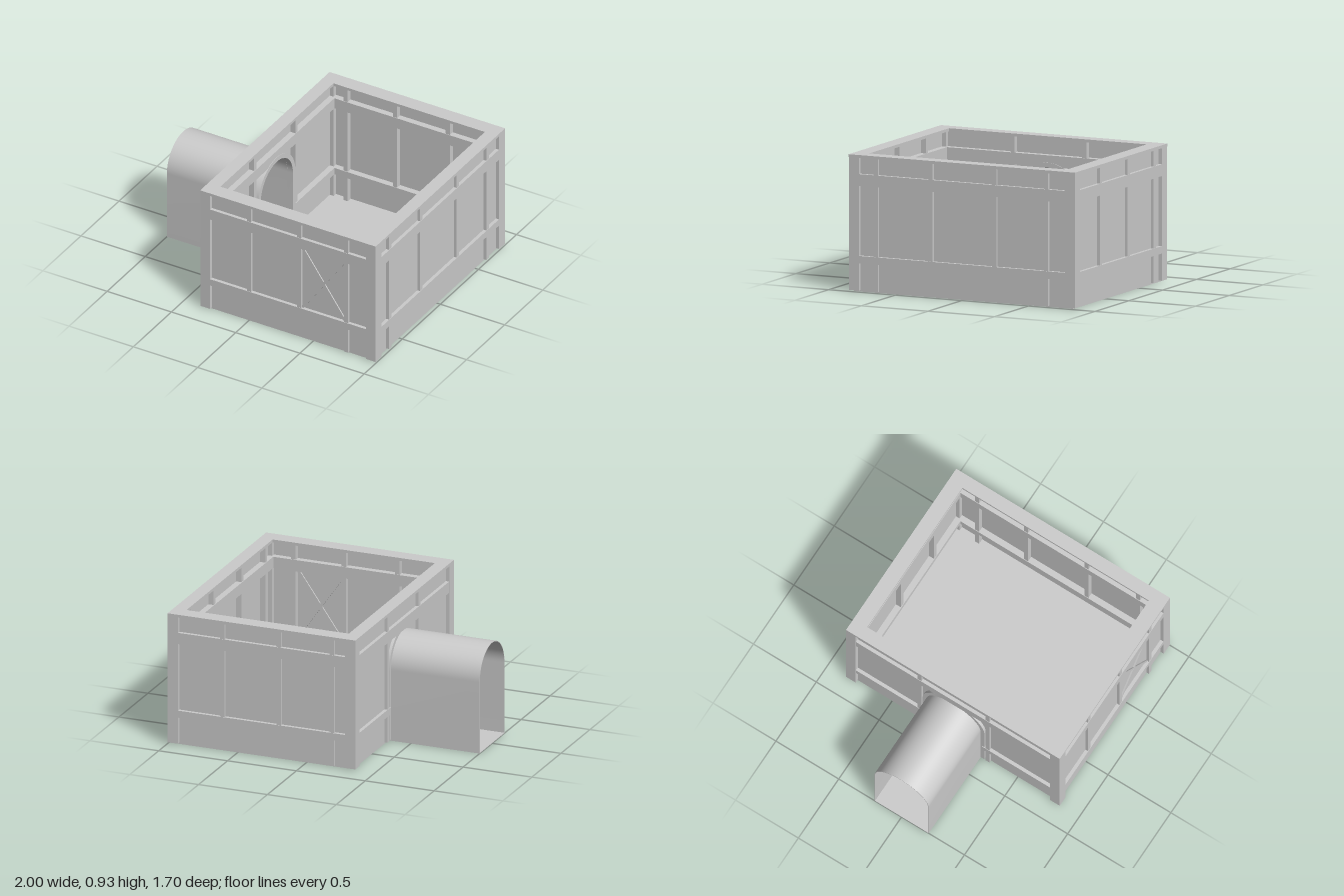
import * as THREE from 'three';
import { toCreasedNormals } from 'three/addons/utils/BufferGeometryUtils.js';

const panelMat = new THREE.MeshStandardMaterial({ color: 0xcccccc, side: THREE.DoubleSide });
const frameMat = new THREE.MeshStandardMaterial({ color: 0xbcbcbc });

const HALF_X = 0.6825, HALF_Z = 0.85, CENTRE_X = 0.3175;
const TOP = 0.93, RIM_Y = 0.91, SPRING = 0.505, RADIUS = 0.215;
const INSET = 0.027, SKIN = 0.02, CORNER = 0.075;

// Box given by its ranges along each axis
function box(parent, name, mat, x0, x1, y0, y1, z0, z1) {
  const mesh = new THREE.Mesh(new THREE.BoxGeometry(x1 - x0, y1 - y0, z1 - z0), mat);
  mesh.position.set((x0 + x1) / 2, (y0 + y1) / 2, (z0 + z1) / 2);
  mesh.name = name;
  parent.add(mesh);
  return mesh;
}

// Round-topped outline, used for the tunnel, its opening and its frame
function trace(path, r, base) {
  path.moveTo(-r, base);
  path.lineTo(r, base);
  path.lineTo(r, SPRING);
  path.absarc(0, SPRING, r, 0, Math.PI, false);
  path.lineTo(-r, base);
  return path;
}

function extrude(parent, name, mat, shape, z0, z1) {
  const geo = new THREE.ExtrudeGeometry(shape, { depth: z1 - z0, bevelEnabled: false, curveSegments: 24 });
  const mesh = new THREE.Mesh(toCreasedNormals(geo, 0.5), mat);
  mesh.position.z = z0;
  mesh.name = name;
  parent.add(mesh);
  return mesh;
}

// A wall lies in local x/y with its outer face at z = 0; posts are [x, bottom]
function wall(name, half, posts, opening = false) {
  const group = new THREE.Group();
  group.name = name;
  const h = half - INSET;
  if (opening) {
    // Panel with the tunnel opening cut up from its foot
    const s = new THREE.Shape();
    s.moveTo(-h, 0);
    s.lineTo(-RADIUS, 0);
    s.lineTo(-RADIUS, SPRING);
    s.absarc(0, SPRING, RADIUS, Math.PI, 0, true);
    s.lineTo(RADIUS, 0);
    s.lineTo(h, 0);
    s.lineTo(h, RIM_Y + 0.005);
    s.lineTo(-h, RIM_Y + 0.005);
    extrude(group, 'wallPanel', panelMat, s, -INSET - SKIN, -INSET);
  } else {
    box(group, 'wallPanel', panelMat, -h, h, 0, RIM_Y + 0.005, -INSET - SKIN, -INSET);
  }
  // Horizontal beams; the lower one stops at an opening
  const e = half - 0.01;
  box(group, 'upperBeam', frameMat, -e, e, 0.72, 0.8, -0.09, -0.003);
  const spans = opening ? [[-e, -0.23], [0.23, e]] : [[-e, e]];
  for (const [a, b] of spans) box(group, 'lowerBeam', frameMat, a, b, 0.195, 0.245, -0.09, -0.003);
  for (const [x, bottom] of posts) {
    box(group, 'wallPost', frameMat, x - 0.016, x + 0.016, bottom, RIM_Y + 0.01, -0.086, -0.006);
  }
  return group;
}

export function createModel() {
  const model = new THREE.Group();
  model.name = 'roomWithTunnel';
  const room = new THREE.Group();
  room.name = 'room';
  room.position.x = CENTRE_X;
  model.add(room);

  // Floor slab
  box(room, 'floor', panelMat, -HALF_X + INSET, HALF_X - INSET, 0, 0.01, -HALF_Z + INSET, HALF_Z - INSET);

  // Four walls
  const LOW = 0.01, MID = 0.22;
  const front = wall('frontWall', HALF_X, [[-0.3075, MID], [0.0825, MID], [0.4475, LOW]]);
  front.position.z = HALF_Z;
  const back = wall('backWall', HALF_X, [[-0.2875, MID], [0.1225, MID], [0.5075, LOW]]);
  back.position.z = -HALF_Z;
  back.rotation.y = Math.PI;
  const right = wall('tunnelFacingWall', HALF_Z, [[-0.65, LOW], [-0.24, MID], [0.24, MID], [0.63, LOW]]);
  right.position.x = HALF_X;
  right.rotation.y = Math.PI / 2;
  const left = wall('tunnelWall', HALF_Z, [[-0.27, LOW], [0.27, LOW]], true);
  left.position.x = -HALF_X;
  left.rotation.y = -Math.PI / 2;
  room.add(front, back, right, left);

  // Crossed braces in the front bay, showing on both faces of the panel
  const bw = 0.333, bh = 0.475;
  for (const s of [-1, 1]) {
    const brace = box(front, 'crossBrace', frameMat, -0.01, 0.01,
      -Math.hypot(bw, bh) / 2, Math.hypot(bw, bh) / 2, -0.056, -0.018 - 0.001 * s);
    brace.position.x = 0.265;
    brace.position.y = 0.4825;
    brace.rotation.z = s * Math.atan2(bw, bh);
  }

  // Corner posts
  for (const sx of [-1, 1]) for (const sz of [-1, 1]) {
    const post = box(room, 'cornerPost', frameMat, -CORNER / 2, CORNER / 2, LOW, RIM_Y + 0.01, -CORNER / 2, CORNER / 2);
    post.position.x = sx * (HALF_X - CORNER / 2 - 0.001);
    post.position.z = sz * (HALF_Z - CORNER / 2 - 0.001);
  }

  // Flat rim around the open top
  const rect = (p, a, b) => p.moveTo(-a, -b).lineTo(a, -b).lineTo(a, b).lineTo(-a, b).closePath();
  const rimShape = new THREE.Shape();
  rect(rimShape, HALF_X, HALF_Z);
  const rimHole = new THREE.Path();
  rect(rimHole, HALF_X - 0.093, HALF_Z - 0.108);
  rimShape.holes.push(rimHole);
  const rim = extrude(room, 'topRim', frameMat, rimShape, 0, TOP - RIM_Y);
  rim.rotation.x = -Math.PI / 2;
  rim.position.y = RIM_Y;

  // Round-topped tunnel, open at its far end
  const tunnelShape = trace(new THREE.Shape(), RADIUS, 0);
  tunnelShape.holes.push(trace(new THREE.Path(), RADIUS - 0.004, 0.004));
  extrude(left, 'tunnel', panelMat, tunnelShape, -0.05, 0.635);

  // Arched frame around the tunnel mouth
  const R = 0.245, r = 0.212;
  const arch = new THREE.Shape();
  arch.moveTo(R, LOW);
  arch.lineTo(R, SPRING);
  arch.absarc(0, SPRING, R, 0, Math.PI, false);
  arch.lineTo(-R, LOW);
  arch.lineTo(-r, LOW);
  arch.lineTo(-r, SPRING);
  arch.absarc(0, SPRING, r, Math.PI, 0, true);
  arch.lineTo(r, LOW);
  extrude(left, 'tunnelArch', frameMat, arch, -0.093, -0.008);

  return model;
}
